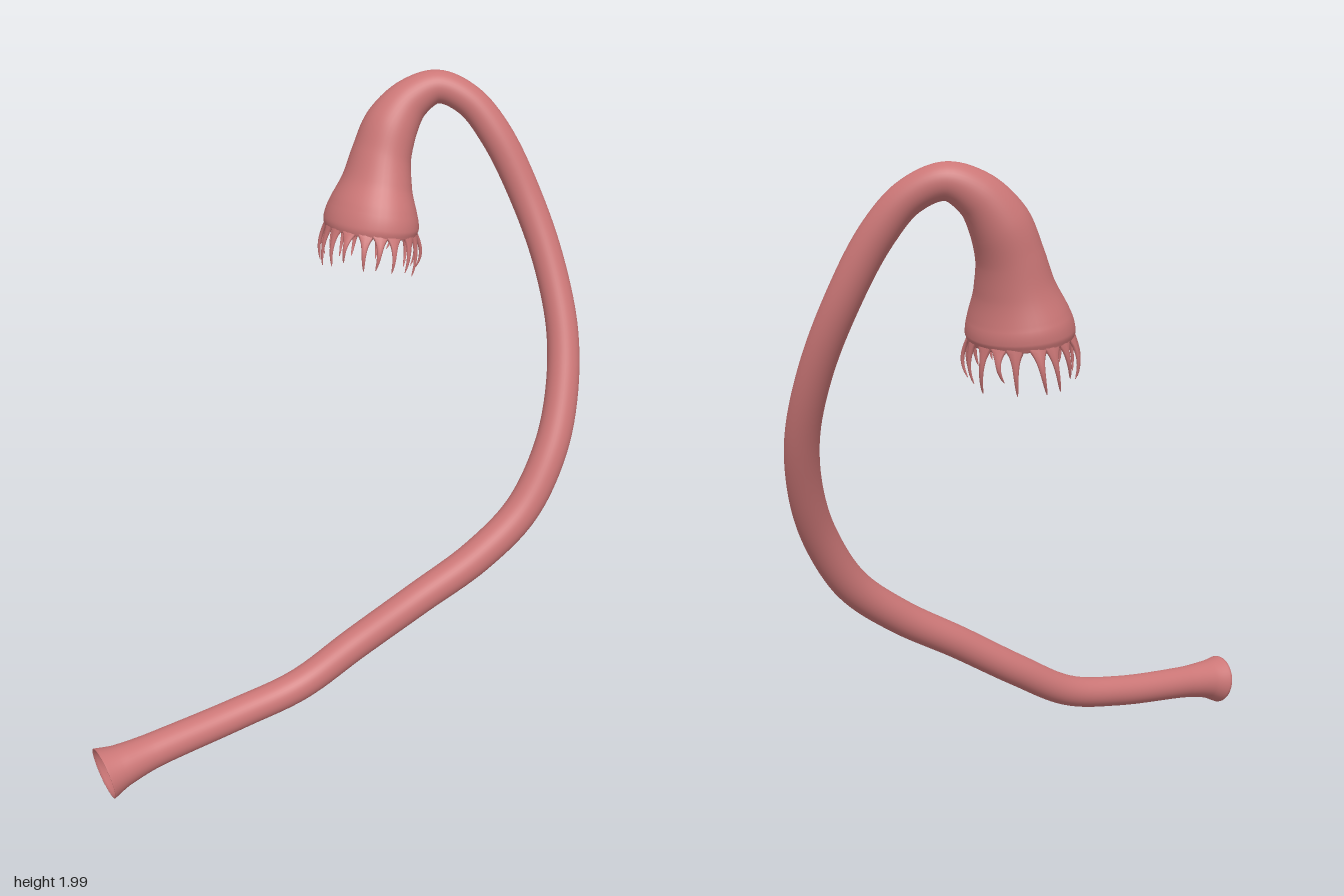
import * as THREE from 'three';

const V = (x, y, z) => new THREE.Vector3(x, y, z);

// Centre line x, y, z, then outer radius, lumen radius and z-stretch of the section
const STATIONS = [
  [-0.865, 0.085, 0.127, 0.083, 0.078, 0],
  [-0.81, 0.095, 0.132, 0.067, 0.034, 0],
  [-0.70, 0.11, 0.137, 0.055, 0.03, 0],
  [-0.40, 0.146, 0.16, 0.051, 0.028, 0],
  [-0.19, 0.192, 0.19, 0.051, 0.028, 0],
  [0.00, 0.30, 0.228, 0.052, 0.028, 0],
  [0.20, 0.428, 0.286, 0.053, 0.028, 0],
  [0.40, 0.55, 0.337, 0.055, 0.028, 0],
  [0.56, 0.68, 0.358, 0.056, 0.028, 0],
  [0.675, 0.85, 0.345, 0.055, 0.028, 0],
  [0.75, 1.01, 0.302, 0.053, 0.028, 0],
  [0.803, 1.2, 0.23, 0.051, 0.028, 0],
  [0.815, 1.4, 0.135, 0.05, 0.028, 0],
  [0.79, 1.6, 0.035, 0.051, 0.028, 0],
  [0.727, 1.8, -0.06, 0.052, 0.028, 0],
  [0.665, 1.905, -0.13, 0.05, 0.028, 0],
  [0.59, 1.945, -0.195, 0.053, 0.03, 0],
  [0.515, 1.906, -0.235, 0.068, 0.045, 0],
  [0.455, 1.83, -0.252, 0.085, 0.06, 0.06],
  [0.418, 1.74, -0.252, 0.091, 0.07, 0.15],
  [0.393, 1.65, -0.242, 0.107, 0.09, 0.2],
  [0.373, 1.575, -0.233, 0.134, 0.115, 0.2],
  [0.364, 1.53, -0.229, 0.145, 0.128, 0.18],
  [0.36, 1.505, -0.227, 0.141, 0.132, 0.18],
];

// Skin through a list of equally divided rings
function loft(rings, closed) {
  const n = rings[0].length, pos = [], idx = [];
  rings.forEach(r => r.forEach(p => pos.push(p.x, p.y, p.z)));
  const rows = closed ? rings.length : rings.length - 1;
  for (let i = 0; i < rows; i++) {
    const k = (i + 1) % rings.length;
    for (let j = 0; j < n; j++) {
      const m = (j + 1) % n;
      const a = i * n + j, b = i * n + m, c = k * n + j, d = k * n + m;
      idx.push(a, b, c, b, d, c);
    }
  }
  const g = new THREE.BufferGeometry();
  g.setAttribute('position', new THREE.Float32BufferAttribute(pos, 3));
  g.setIndex(idx);
  g.computeVertexNormals();
  return g;
}

export function createModel() {
  const group = new THREE.Group();
  const mat = new THREE.MeshStandardMaterial({ color: 0xcc7777, side: THREE.DoubleSide });
  let seed = 11;
  const rand = () => (seed = (seed * 16807) % 2147483647) / 2147483647;

  // Frames carried along the centre line without twisting
  const path = new THREE.CatmullRomCurve3(STATIONS.map(s => V(s[0], s[1], s[2])));
  const sizes = new THREE.CatmullRomCurve3(STATIONS.map(s => V(s[3], s[4], s[5])), false, 'catmullrom', 0.5);
  const STEPS = 184, SIDES = 40;
  const frames = [];
  let N = V(0, 1, 0);
  for (let i = 0; i <= STEPS; i++) {
    const T = path.getTangent(i / STEPS);
    N = N.clone().addScaledVector(T, -N.dot(T)).normalize();
    frames.push({ C: path.getPoint(i / STEPS), T, N, B: T.clone().cross(N), size: sizes.getPoint(i / STEPS) });
  }
  const outward = (f, a) => f.N.clone().multiplyScalar(Math.cos(a)).addScaledVector(f.B, Math.sin(a));
  const wallPoint = (f, a, r) => {
    const o = outward(f, a).multiplyScalar(r);
    o.z *= 1 + f.size.z;
    return o.add(f.C);
  };
  const ring = (f, r) => Array.from({ length: SIDES }, (_, j) => wallPoint(f, j / SIDES * Math.PI * 2, r));

  // Tube wall: outside to the bell rim, then back along the lumen
  const rings = frames.map(f => ring(f, f.size.x));
  for (let i = STEPS; i >= 0; i--) rings.push(ring(frames[i], frames[i].size.y));
  const tube = new THREE.Mesh(loft(rings, true), mat);
  tube.name = 'tubeAndBell';
  group.add(tube);

  // Fringe of tapering fingers that meet in arches along the rim
  const fringe = new THREE.Group();
  fringe.name = 'fringe';
  const rim = frames[STEPS - 3];
  const COUNT = 18;
  for (let k = 0; k < COUNT; k++) {
    const a = (k + 0.3 * (rand() - 0.5)) / COUNT * Math.PI * 2;
    const out = outward(rim, a), side = out.clone().cross(rim.T);
    const base = wallPoint(rim, a, rim.size.x - 0.008);
    const length = 0.095 + 0.05 * rand();
    const sway = 0.03 * (rand() - 0.5), flare = 0.012 + 0.012 * rand();
    const sections = [];
    for (let i = 0; i <= 12; i++) {
      const t = i / 12, q = 1 - t;
      const w = 0.0008 + 0.012 * Math.sqrt(q) * (1 - 0.4 * t) + 0.019 * q ** 6;
      const h = 0.0008 + 0.0065 * Math.sqrt(q);
      const c = base.clone().addScaledVector(rim.T, length * t)
        .addScaledVector(out, flare * Math.sin(t * 2.6))
        .addScaledVector(side, sway * t * t);
      sections.push(Array.from({ length: 8 }, (_, j) => {
        const b = j / 8 * Math.PI * 2;
        return c.clone().addScaledVector(side, w * Math.cos(b)).addScaledVector(out, h * Math.sin(b));
      }));
    }
    const finger = new THREE.Mesh(loft(sections, false), mat);
    finger.name = 'finger';
    fringe.add(finger);
  }
  group.add(fringe);
  return group;
}
